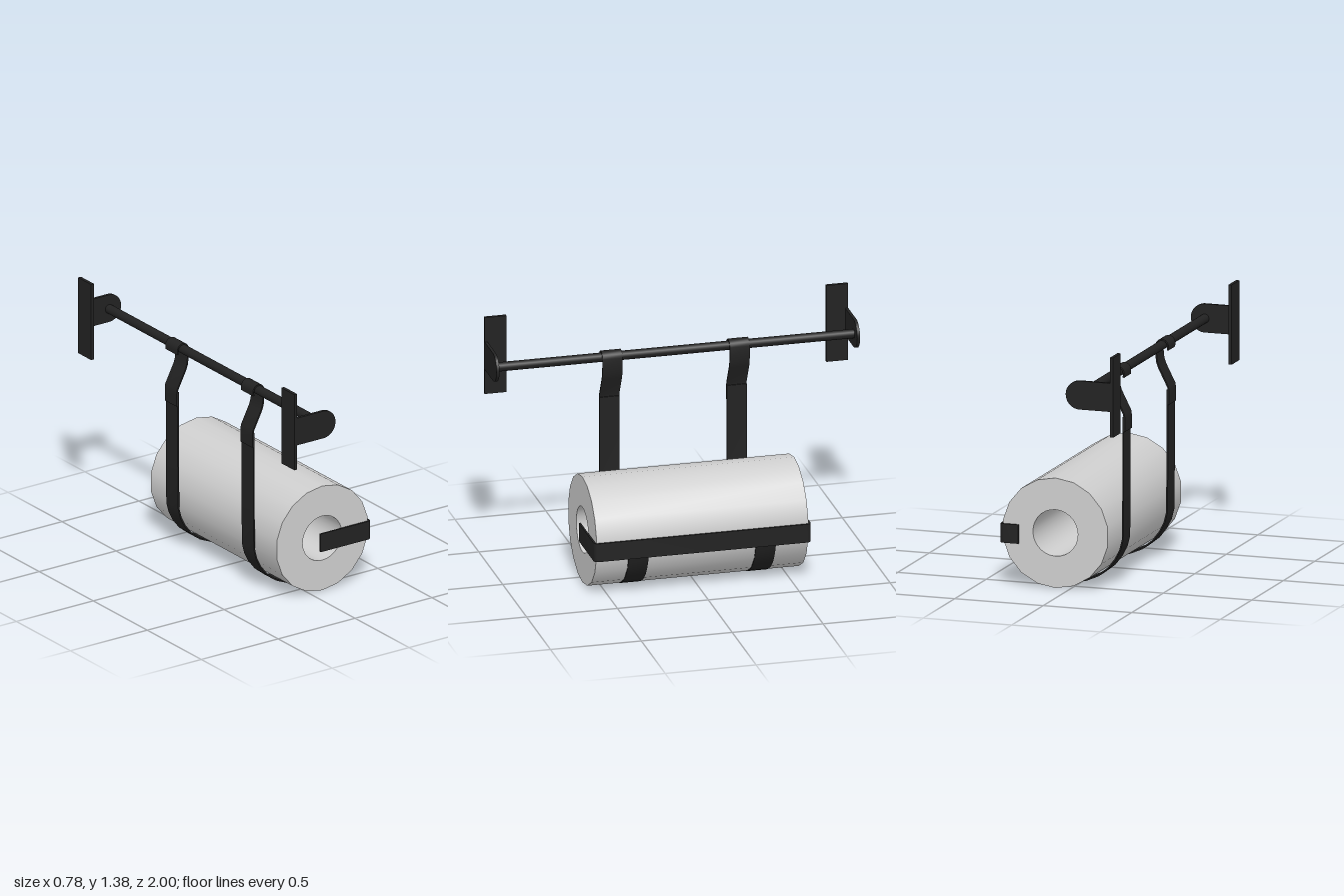
import * as THREE from 'three';
import { toCreasedNormals } from 'three/addons/utils/BufferGeometryUtils.js';

const metal = new THREE.MeshStandardMaterial({ color: 0x222222 });
metal.name = 'blackMetal';
const paper = new THREE.MeshStandardMaterial({ color: 0xcfcfcf });
paper.name = 'paleGreyRoll';

// Extrude a shape along z, centred, with smooth curves and sharp edges
function slab(shape, depth, curveSegments = 12) {
  const geo = new THREE.ExtrudeGeometry(shape, { depth, bevelEnabled: false, curveSegments });
  geo.translate(0, 0, -depth / 2);
  return toCreasedNormals(geo, 0.5);
}

// Bent flat bar: offsets a centre line to both sides and extrudes it
function ribbon(path, thickness, width) {
  const pts = path.map(p => new THREE.Vector2(p[0], p[1]));
  const side = s => pts.map((p, i) => {
    const a = pts[Math.max(i - 1, 0)], b = pts[Math.min(i + 1, pts.length - 1)];
    const d = b.clone().sub(a).normalize();
    return new THREE.Vector2(p.x - d.y * s, p.y + d.x * s);
  });
  const outline = [...side(thickness / 2), ...side(-thickness / 2).reverse()];
  return slab(new THREE.Shape(outline), width);
}

// Points on an arc, angles in degrees
function arc(cx, cy, r, from, to, n) {
  return Array.from({ length: n + 1 }, (_, i) => {
    const t = (from + (to - from) * i / n) * Math.PI / 180;
    return [cx + r * Math.cos(t), cy + r * Math.sin(t)];
  });
}

function add(parent, name, geo, material, x = 0, y = 0, z = 0) {
  const mesh = new THREE.Mesh(geo, material);
  mesh.name = name;
  mesh.position.set(x, y, z);
  parent.add(mesh);
  return mesh;
}

export function createModel() {
  const model = new THREE.Group();
  model.name = 'rollHolder';
  const rodX = -0.205, rodY = 1.163;

  // Wall brackets: upright plate with a round-ended arm, at both ends
  const armShape = new THREE.Shape();
  armShape.moveTo(-0.39, rodY - 0.078);
  armShape.lineTo(rodX, rodY - 0.078);
  armShape.absarc(rodX, rodY, 0.078, -Math.PI / 2, Math.PI / 2, false);
  armShape.lineTo(-0.39, rodY + 0.078);
  for (const s of [1, -1]) {
    const bracket = new THREE.Group();
    bracket.name = s > 0 ? 'frontBracket' : 'backBracket';
    add(bracket, 'wallPlate', new THREE.BoxGeometry(0.018, 0.435, 0.12), metal, -0.386, 1.163, s * 0.94);
    add(bracket, 'bracketArm', slab(armShape, 0.016), metal, 0, 0, s * 0.992);
    model.add(bracket);
  }

  // Rod
  const rod = new THREE.CylinderGeometry(0.025, 0.025, 1.97, 20);
  rod.rotateX(Math.PI / 2);
  add(model, 'rod', rod, metal, rodX, rodY - 0.002);

  // Hooks over the rod and the straps that cradle the roll
  const hookPath = [[-0.246, 0.84], [-0.246, 0.91], [-0.243, 0.935], [-0.19, 1.04], [-0.18, 1.07],
    [-0.176, 1.11], ...arc(rodX - 0.004, rodY - 0.005, 0.033, 0, 180, 10), [-0.241, 1.135]];
  const strapPath = [[-0.239, 0.92], [-0.239, 0.5], [-0.236, 0.25], [-0.222, 0.195], [-0.196, 0.143],
    [-0.155, 0.09], [-0.095, 0.043], [-0.025, 0.013], ...arc(0.08, 0.304, 0.3, 270, 350, 8)];
  for (const z of [0.35, -0.35]) {
    const hanger = new THREE.Group();
    hanger.name = z > 0 ? 'frontHanger' : 'backHanger';
    hanger.position.z = z;
    add(hanger, 'hook', ribbon(hookPath, 0.008, 0.11), metal);
    add(hanger, 'strap', ribbon(strapPath, 0.008, 0.11), metal);
    model.add(hanger);
  }

  // Roll with a hollow core
  const ring = (r, n) => arc(0.08, 0.302, r, 90, 450, n).slice(0, n).map(p => new THREE.Vector2(...p));
  const rollShape = new THREE.Shape(ring(0.3, 18));
  rollShape.holes.push(new THREE.Path(ring(0.127, 28)));
  add(model, 'roll', slab(rollShape, 1.165), paper);

  // Retaining bar along the roll, bent round both ends (drawn as x, -z)
  const barPath = [[0.06, -0.592], [0.365, -0.592], ...arc(0.368, -0.575, 0.017, -75, 0, 4),
    ...arc(0.368, 0.575, 0.017, 0, 75, 4), [0.365, 0.592], [0.285, 0.592]];
  const bar = ribbon(barPath, 0.01, 0.104);
  bar.rotateX(-Math.PI / 2);
  add(model, 'retainingBar', bar, metal, 0, 0.282, 0);

  return model;
}
